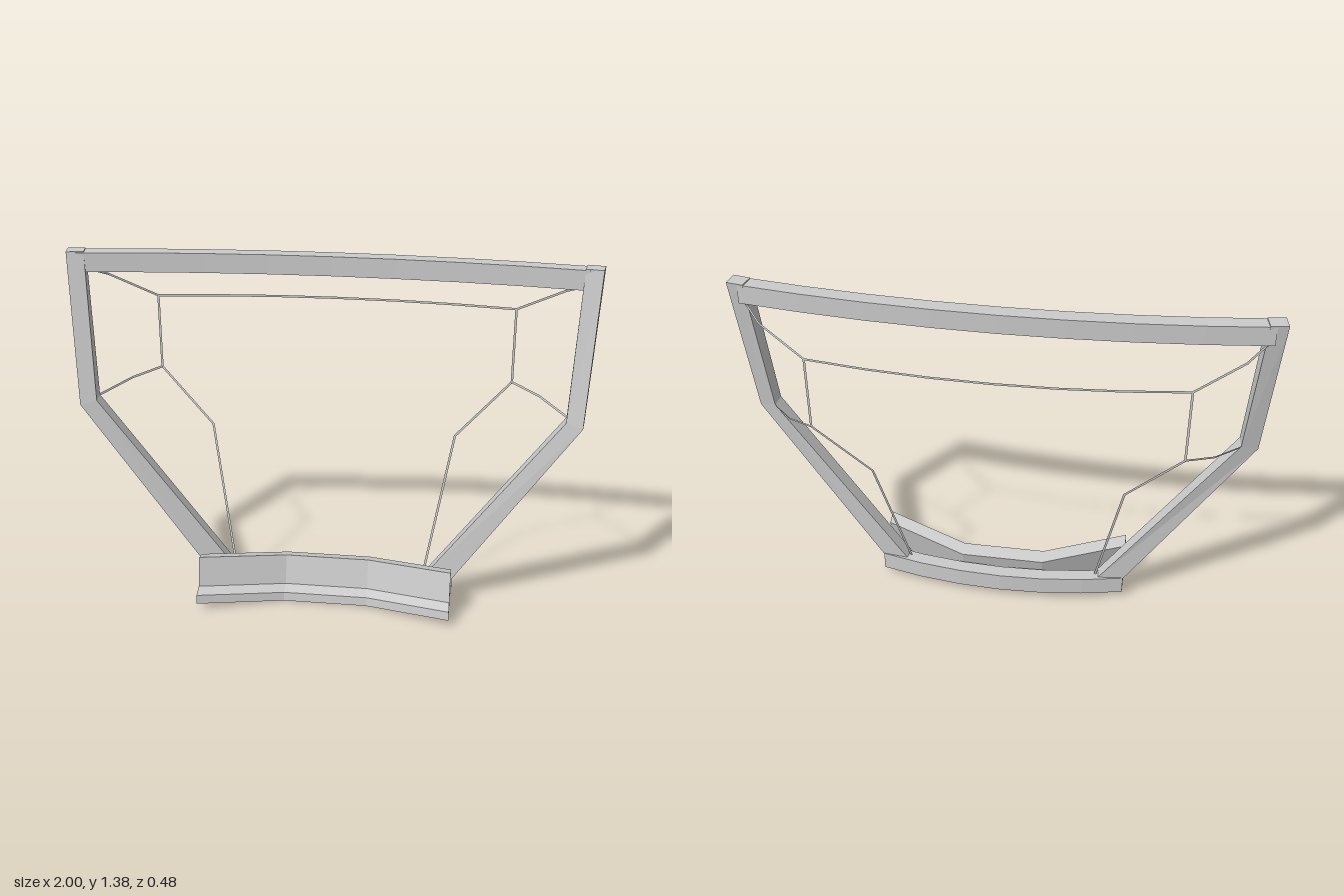
import * as THREE from 'three';

const material = new THREE.MeshStandardMaterial({ color: 0xcccccc, flatShading: true });
const thinMaterial = new THREE.MeshStandardMaterial({ color: 0xcccccc, side: THREE.DoubleSide });

function makeMesh(name, positions, mat) {
  const geometry = new THREE.BufferGeometry();
  geometry.setAttribute('position', new THREE.Float32BufferAttribute(positions, 3));
  geometry.computeVertexNormals();
  const mesh = new THREE.Mesh(geometry, mat);
  mesh.name = name;
  return mesh;
}

// Joins rings of [x, y, z] corners; caps lists the convex pieces of the end faces.
function loft(name, rings, caps) {
  const out = [];
  const fan = (p) => {
    for (let i = 1; i < p.length - 1; i++) out.push(...p[0], ...p[i], ...p[i + 1]);
  };
  const n = rings[0].length;
  for (let i = 0; i < rings.length - 1; i++) {
    for (let k = 0; k < n; k++) {
      const m = (k + 1) % n;
      fan([rings[i][k], rings[i][m], rings[i + 1][m], rings[i + 1][k]]);
    }
  }
  for (const cap of caps) {
    fan(cap.map((k) => rings[0][k]).reverse());
    fan(cap.map((k) => rings[rings.length - 1][k]));
  }
  return makeMesh(name, out, material);
}

// Rectangular beam along x, bowed backwards in the middle.
function bowedBeam(name, half, y0, y1, zMiddle, zEnd, depth, segments) {
  const rings = [];
  for (let i = 0; i <= segments; i++) {
    const t = (2 * i) / segments - 1;
    const back = zMiddle + (zEnd - zMiddle) * t * t;
    const x = half * t;
    rings.push([[x, y1, back], [x, y1, back + depth], [x, y0, back + depth], [x, y0, back]]);
  }
  return loft(name, rings, [[0, 1, 2, 3]]);
}

// Flat strip facing z, mitred at each bend of its path.
function ribbon(name, path, width = 0.009) {
  const pts = path.map((p) => new THREE.Vector3(...p));
  const direction = (i) => new THREE.Vector2(pts[i + 1].x - pts[i].x, pts[i + 1].y - pts[i].y).normalize();
  const edges = pts.map((p, i) => {
    const a = direction(Math.max(i - 1, 0));
    const b = direction(Math.min(i, pts.length - 2));
    const normal = new THREE.Vector2(-a.y - b.y, a.x + b.x).normalize();
    const w = width / 2 / (normal.x * -a.y + normal.y * a.x);
    return [1, -1].map((s) => [p.x + s * w * normal.x, p.y + s * w * normal.y, p.z]);
  });
  const out = [];
  for (let i = 0; i < edges.length - 1; i++) {
    const [a, b] = edges[i];
    const [c, d] = edges[i + 1];
    out.push(...a, ...b, ...d, ...a, ...d, ...c);
  }
  return makeMesh(name, out, thinMaterial);
}

export function createModel() {
  const model = new THREE.Group();
  model.name = 'windowFrame';

  // Curved beams across the top and bottom
  model.add(bowedBeam('topBeam', 0.96, 1.305, 1.38, -0.13, -0.063, 0.06, 8));
  model.add(bowedBeam('bottomBeam', 0.5, 0.037, 0.113, -0.075, -0.012, 0.056, 6));

  // Bent side posts: inner front, outer front, outer back, inner back
  const postRings = [
    [[0.385, 0.1, 0.03], [0.495, 0.1, 0.045], [0.495, 0.1, -0.01], [0.39, 0.1, -0.022]],
    [[0.895, 0.815, 0.068], [0.957, 0.8, 0.083], [0.965, 0.8, 0.025], [0.9, 0.815, 0.007]],
    [[0.925, 1.384, -0.01], [0.99, 1.384, 0.002], [1, 1.384, -0.057], [0.935, 1.384, -0.068]],
  ];

  for (const side of [1, -1]) {
    const label = side > 0 ? 'left' : 'right';
    const flip = (points) => points.map(([x, y, z]) => [side * x, y, z]);
    const rings = postRings.map((r) => (side > 0 ? r : flip(r).reverse()));
    model.add(loft(label + 'Post', rings, [[0, 1, 2, 3]]));

    // Thin strips standing behind the opening
    const strips = {
      UpperStrip: [[0.935, 1.305, -0.06], [0.87, 1.265, -0.125], [0.695, 1.167, -0.185]],
      VerticalStrip: [[0.695, 1.167, -0.185], [0.695, 0.87, -0.185]],
      SideStrip: [[0.695, 0.87, -0.185], [0.8, 0.845, -0.115], [0.9, 0.815, 0.005]],
      LowerStrip: [[0.695, 0.87, -0.185], [0.485, 0.65, -0.138], [0.385, 0.11, -0.002]],
    };
    for (const [name, path] of Object.entries(strips)) model.add(ribbon(label + name, flip(path)));
  }
  const across = [-0.695, -0.46, -0.23, 0, 0.23, 0.46, 0.695];
  model.add(ribbon('crossStrip', across.map((x) => [x, 1.167, -0.24 + 0.055 * (x / 0.695) ** 2])));

  // Tilted front panel with a lip, swept along three straight runs; profile is [z, y]
  const profile = [[0.16, 0.2], [0.19, 0.085], [0.235, 0.07], [0.24, 0.035],
    [0.2, 0.05], [0.145, 0.035], [0.106, 0.185]];
  const panelRings = [-0.497, -0.165, 0.165, 0.497].map((x) => {
    const inner = Math.abs(x) < 0.3 ? 1 : 0;
    return profile.map(([z, y]) => [x, y - 0.032 * inner, z - 0.118 * inner]);
  });
  model.add(loft('frontPanel', panelRings, [[0, 1, 4, 5, 6], [1, 2, 3, 4]]));

  return model;
}
